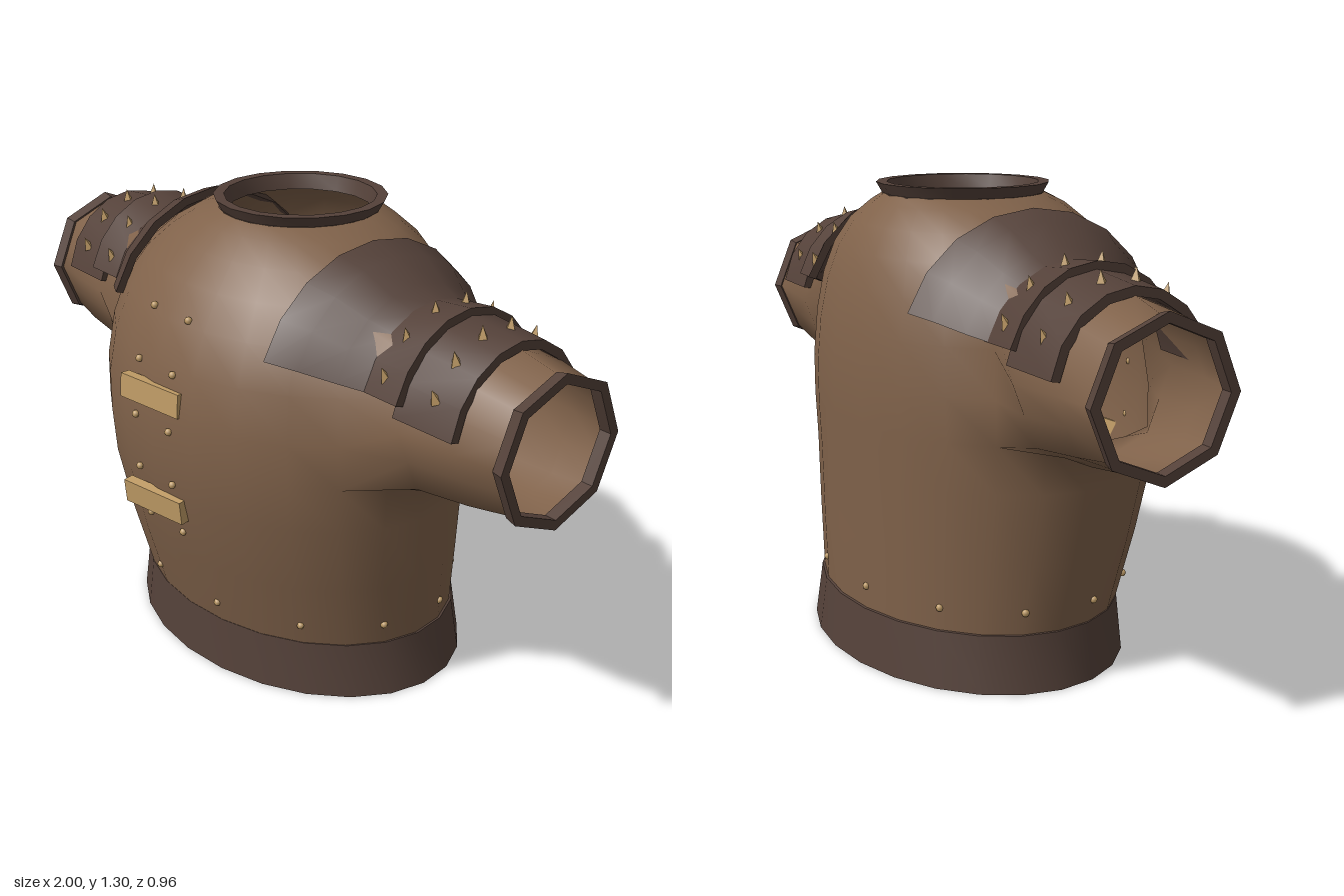
import * as THREE from 'three';
import { mergeGeometries, mergeVertices, toCreasedNormals } from 'three/addons/utils/BufferGeometryUtils.js';

const makeMat = (name, color) => new THREE.MeshStandardMaterial({ name, color, side: THREE.DoubleSide });
const RAD = Math.PI / 180;
const COLS = 24;

// Surface through rows of points; skip(j, i) leaves a cell open
function grid(rows, { wrap = true, flip = false, skip = () => false } = {}) {
  const n = rows[0].length, index = [];
  for (let j = 0; j < rows.length - 1; j++) {
    for (let i = 0; i < (wrap ? n : n - 1); i++) {
      if (skip(j, i)) continue;
      const k = (i + 1) % n;
      const a = j * n + i, b = a + n, c = (j + 1) * n + k, d = j * n + k;
      if (flip) index.push(a, c, b, a, d, c);
      else index.push(a, b, c, a, c, d);
    }
  }
  const geo = new THREE.BufferGeometry();
  geo.setAttribute('position', new THREE.Float32BufferAttribute(rows.flat(2), 3));
  geo.setIndex(index);
  geo.computeVertexNormals();
  return geo;
}

// Horizontal oval ring: height, half width, front z, back z
function oval([y, a, front, back]) {
  return Array.from({ length: COLS }, (_, i) => {
    const t = (i / COLS) * Math.PI * 2;
    return [a * Math.cos(t), y, (front + back) / 2 + ((front - back) / 2) * Math.sin(t)];
  });
}

// Sixteen points lying on an eight-sided sleeve section
function sleeveRing(x, cy, cz, ry, rz, s) {
  const corner = k => [s * x, cy + ry * Math.sin(k * 45 * RAD), cz + rz * Math.cos(k * 45 * RAD)];
  return Array.from({ length: 16 }, (_, k) => {
    const a = corner(Math.floor(k / 2)), b = corner(Math.ceil(k / 2));
    return a.map((v, i) => (v + b[i]) / 2);
  });
}

// Curved shoulder plate with thickness; sections are [x, cy, cz, ry, rz]
function plate(sections, startDeg, s) {
  const thick = 0.025, steps = 8, m = sections.length;
  const loop = [
    ...sections.map(p => [p, 0]),
    ...[...sections].reverse().map(p => [p, thick]),
  ];
  const rows = [];
  for (let k = 0; k <= steps; k++) {
    const t = (startDeg + ((180 - 2 * startDeg) * k) / steps) * RAD;
    rows.push(loop.map(([[x, cy, cz, ry, rz], d]) =>
      [s * x, cy + (ry - d) * Math.sin(t), cz + (rz - d) * Math.cos(t)]));
  }
  // Closing rows collapse the section onto its middle line
  const close = row => row.map((p, i) => p.map((v, c) => (v + row[2 * m - 1 - i][c]) / 2));
  rows.unshift(close(rows[0]));
  rows.push(close(rows[rows.length - 1]));
  return toCreasedNormals(grid(rows, { flip: s > 0 }), 0.6);
}

export function createModel() {
  const model = new THREE.Group();
  model.name = 'studdedTunic';
  const leather = makeMat('brown leather', 0x80624a);
  const dark = makeMat('dark leather', 0x544139);
  const brass = makeMat('brass', 0xc09c66);
  const add = (name, geo, mat, parent = model) => {
    const mesh = new THREE.Mesh(geo, mat);
    mesh.name = name;
    parent.add(mesh);
    return mesh;
  };

  // Torso shell with an opening on each side for the sleeves
  const profile = [
    [0.14, 0.53, 0.34, -0.45], [0.35, 0.56, 0.4, -0.455], [0.55, 0.585, 0.445, -0.457],
    [0.68, 0.595, 0.455, -0.462], [0.8, 0.59, 0.457, -0.463], [0.93, 0.57, 0.435, -0.452],
    [1.04, 0.54, 0.39, -0.43], [1.13, 0.48, 0.33, -0.4], [1.2, 0.4, 0.265, -0.36],
    [1.25, 0.31, 0.21, -0.31], [1.275, 0.225, 0.165, -0.285],
  ];
  const rows = profile.map(oval);
  const armhole = (j, i) => j >= 3 && j < 7 && ((i + 2) % 12) < 4;
  const shells = [grid(rows, { skip: armhole })];

  // Sleeves grow from the edge of each opening
  const edge = [[5, 2], [6, 2], [7, 2], [7, 1], [7, 0], [7, -1], [7, -2], [6, -2],
    [5, -2], [4, -2], [3, -2], [3, -1], [3, 0], [3, 1], [3, 2], [4, 2]];
  for (const s of [1, -1]) {
    const rim = edge.map(([j, i]) => {
      const [x, y, z] = rows[j][(i + COLS) % COLS];
      return [s * x, y, z];
    });
    shells.push(grid([
      rim,
      sleeveRing(0.68, 0.885, -0.05, 0.24, 0.23, s),
      sleeveRing(0.85, 0.888, -0.05, 0.22, 0.212, s),
      sleeveRing(0.99, 0.885, -0.055, 0.19, 0.19, s),
    ], { flip: s < 0 }));
  }
  for (const g of shells) g.deleteAttribute('normal');
  const body = mergeVertices(mergeGeometries(shells), 1e-4);
  body.computeVertexNormals();
  add('bodyAndSleeves', body, leather);

  // Flared hem band
  const hem = [
    [0.16, 0.515, 0.325, -0.435], [0.0, 0.545, 0.335, -0.455], [0.0, 0.565, 0.357, -0.477],
    [0.155, 0.537, 0.345, -0.457], [0.16, 0.515, 0.325, -0.435],
  ];
  add('hemBand', toCreasedNormals(grid(hem.map(oval)), 0.6), dark);

  // Neck collar
  const lathe = (pts, seg) => toCreasedNormals(
    new THREE.LatheGeometry(pts.map(p => new THREE.Vector2(...p)), seg), 0.6);
  add('collar', lathe([[0.2, 1.262], [0.228, 1.255], [0.225, 1.275], [0.242, 1.305],
    [0.212, 1.305], [0.2, 1.262]], 18), dark).position.z = -0.062;

  // Shoulder plates, spikes and cuffs on both arms
  const spikeGeo = new THREE.ConeGeometry(0.017, 0.04, 4).toNonIndexed();
  spikeGeo.computeVertexNormals();
  for (const s of [1, -1]) {
    const arm = new THREE.Group();
    arm.name = s > 0 ? 'leftArmour' : 'rightArmour';
    model.add(arm);
    add('shoulderPlate', plate([[0.34, 0.9, -0.03, 0.36, 0.385], [0.42, 0.895, -0.035, 0.338, 0.345],
      [0.5, 0.885, -0.04, 0.295, 0.285], [0.58, 0.88, -0.045, 0.265, 0.24]], 18, s), dark, arm);
    add('upperArmPlate', plate([[0.54, 0.88, -0.045, 0.272, 0.25],
      [0.685, 0.88, -0.045, 0.287, 0.257]], 18, s), dark, arm);
    add('lowerArmPlate', plate([[0.66, 0.88, -0.05, 0.268, 0.24],
      [0.855, 0.88, -0.05, 0.25, 0.23]], 10, s), dark, arm);

    for (const [x, ry, rz] of [[0.615, 0.282, 0.255], [0.775, 0.262, 0.237]]) {
      for (let k = 0; k < 6; k++) {
        const t = (30 + 24 * k) * RAD;
        const spike = add('spike', spikeGeo, brass, arm);
        spike.position.set(s * x, 0.885 + ry * Math.sin(t), -0.045 + rz * Math.cos(t));
        spike.rotation.x = (90 * RAD - t) * 0.4;
      }
    }

    const cuff = lathe([[0.18, 0.965], [0.2, 0.965], [0.208, 1.0], [0.18, 1.0], [0.18, 0.965]], 8);
    cuff.rotateZ(-s * Math.PI / 2);
    add('cuff', cuff, dark, arm).position.set(0, 0.885, -0.052);
  }

  // Chest clasps, sitting slightly askew
  for (const y of [0.84, 0.522]) {
    const clasp = add('clasp', new THREE.BoxGeometry(0.225, 0.068, 0.03), brass);
    clasp.position.set(0.002, y, 0.45);
    clasp.rotation.set(y > 0.7 ? -0.06 : 0.1, 0.14, 0);
  }

  // Chest studs and the row of studs above the hem
  const studGeo = new THREE.SphereGeometry(0.011, 6, 4);
  const stud = (x, y, z) => add('stud', studGeo, brass).position.set(x, y, z);
  for (const [y, z] of [[1.055, 0.378], [0.915, 0.434], [0.755, 0.453], [0.595, 0.446], [0.44, 0.414]]) {
    for (const x of [-0.081, 0.075]) stud(x, y, z);
  }
  for (let k = 0; k < 12; k++) {
    const t = (15 + 30 * k) * RAD;
    stud(0.541 * Math.cos(t), 0.22, -0.044 + 0.407 * Math.sin(t));
  }
  return model;
}
